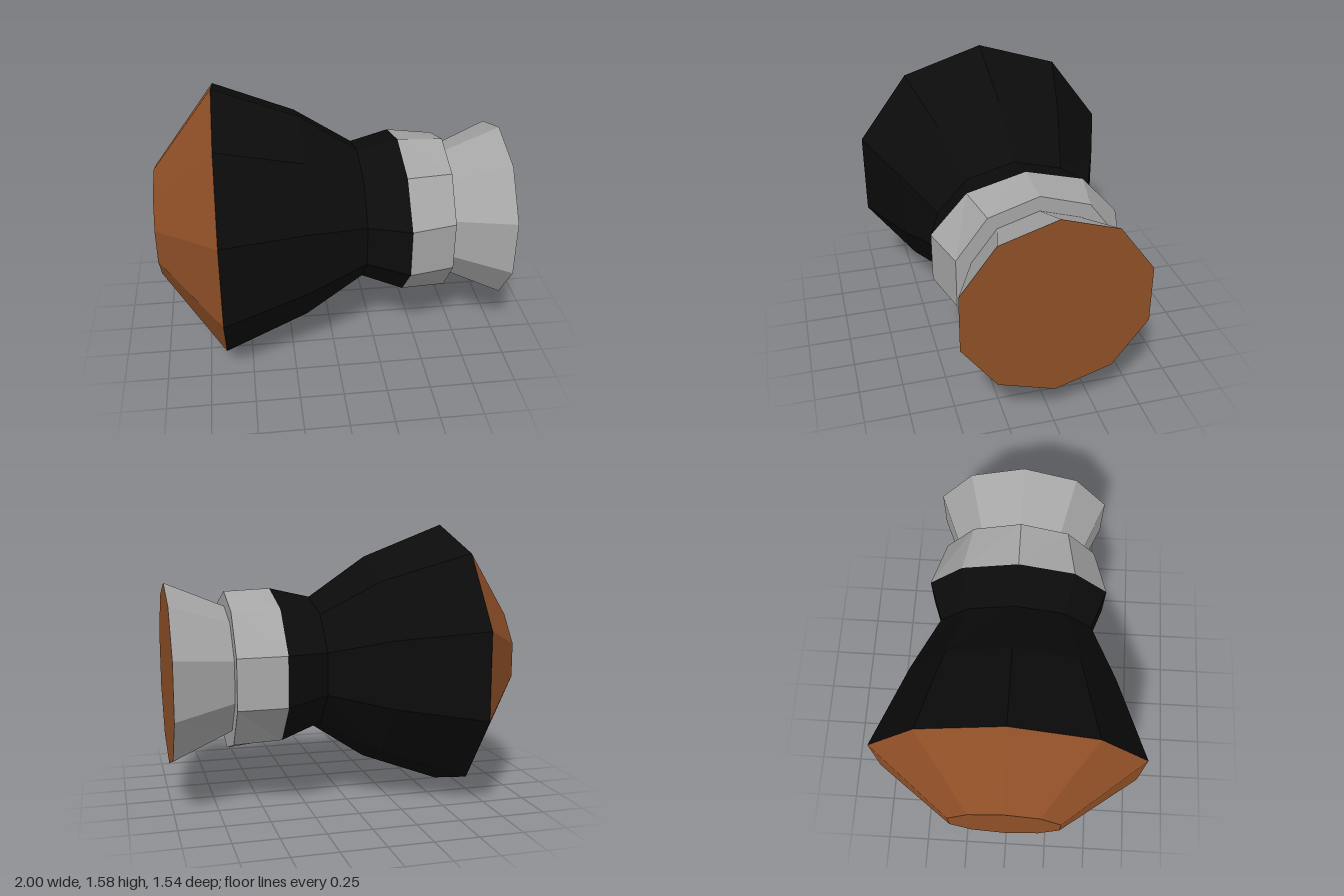
import * as THREE from 'three';

const SIDES = 10;

// Ten-sided cross-sections along x: [x, centre height, radius in y, radius in z]
const tip = [-1, 0.8, 0.32, 0.33];
const rim = [-0.65, 0.798, 0.792, 0.808];
const shoulder = [-0.17, 0.797, 0.608, 0.62];
const waist = [0.165, 0.795, 0.381, 0.468];
const collarStart = [0.4, 0.778, 0.453, 0.556];
const collarEnd = [0.663, 0.76, 0.46, 0.472];
const neck = [0.663, 0.76, 0.375, 0.387];
const flareEnd = [1, 0.7525, 0.5225, 0.533];

function corner([x, cy, ry, rz], k) {
  const a = (k / SIDES) * Math.PI * 2;
  return [x, cy + ry * Math.cos(a), rz * Math.sin(a)];
}

function facets(points) {
  const geometry = new THREE.BufferGeometry();
  geometry.setAttribute('position', new THREE.Float32BufferAttribute(points, 3));
  geometry.computeVertexNormals();
  return geometry;
}

// Faceted skin joining successive cross-sections
function loft(rings) {
  const points = [];
  for (let i = 0; i < rings.length - 1; i++) {
    for (let k = 0; k < SIDES; k++) {
      const a = corner(rings[i], k);
      const b = corner(rings[i + 1], k);
      const c = corner(rings[i + 1], k + 1);
      const d = corner(rings[i], k + 1);
      points.push(...a, ...d, ...c, ...a, ...c, ...b);
    }
  }
  return facets(points);
}

// Flat end face looking along +x (dir 1) or -x (dir -1)
function cap(ring, dir) {
  const points = [];
  for (let k = 0; k < SIDES; k++) {
    points.push(ring[0], ring[1], 0, ...corner(ring, dir * k), ...corner(ring, dir * (k + 1)));
  }
  return facets(points);
}

export function createModel() {
  const material = (name, color) => {
    const m = new THREE.MeshStandardMaterial({ color, flatShading: true });
    m.name = name;
    return m;
  };
  const copper = material('copper brown', 0x8f4f27);
  const black = material('black', 0x0b0b0b);
  const grey = material('grey', 0xa6a6a6);

  const model = new THREE.Group();
  model.name = 'facetedNozzle';
  const add = (name, geometry, mat) => {
    const mesh = new THREE.Mesh(geometry, mat);
    mesh.name = name;
    model.add(mesh);
  };

  // Blunt cone on the wide end
  add('noseCone', loft([tip, rim]), copper);
  add('noseTip', cap(tip, -1), copper);
  // Tapering body with a pinched waist
  add('body', loft([rim, shoulder, waist, collarStart]), black);
  // Collar stepping in to the flared end
  add('collar', loft([collarStart, collarEnd, neck]), grey);
  add('flare', loft([neck, flareEnd]), grey);
  add('flareFace', cap(flareEnd, 1), copper);

  return model;
}
